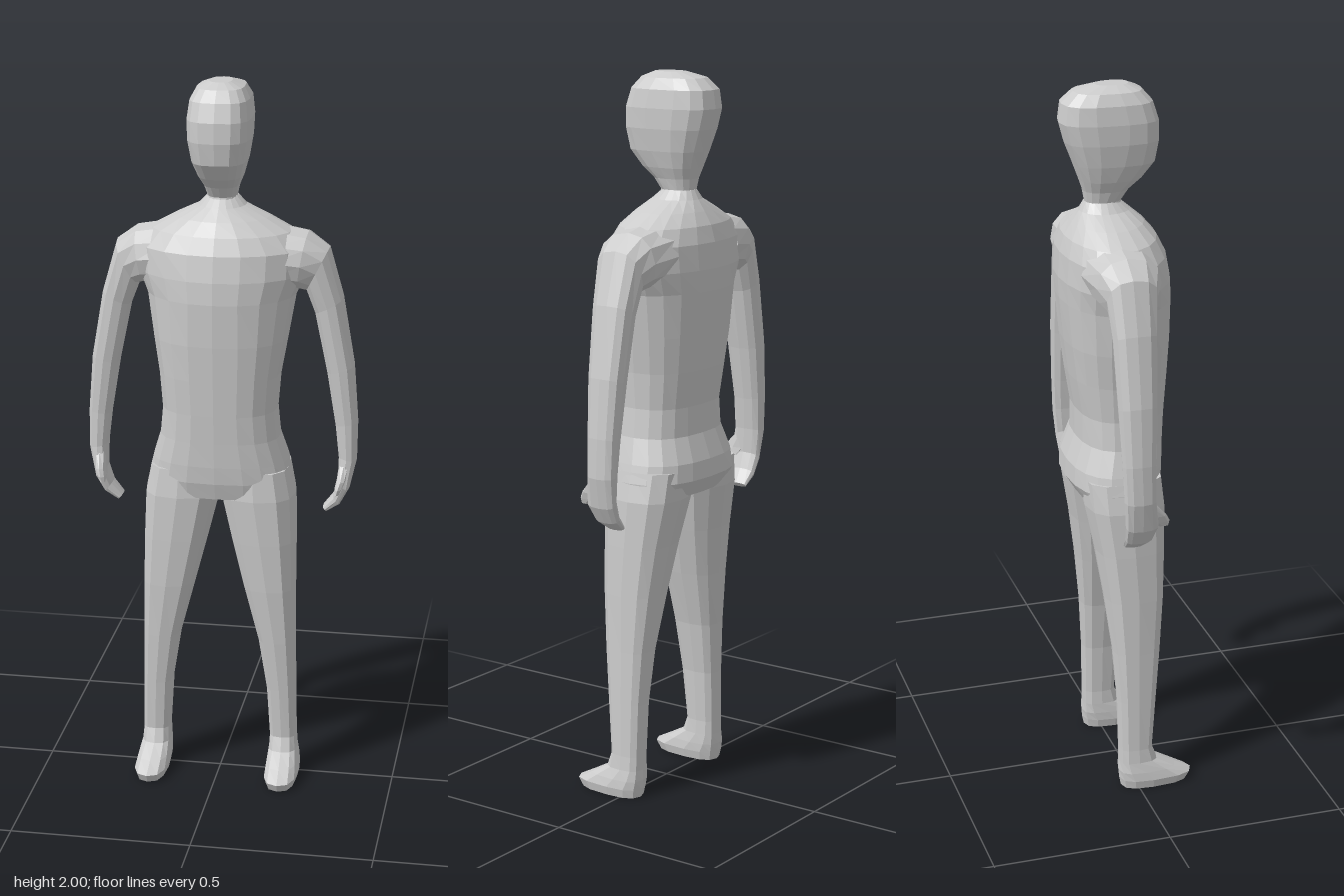
import * as THREE from 'three';

const material = new THREE.MeshStandardMaterial({ color: 0xcccccc, flatShading: true });

// Closed skin through rings listed from top to bottom. Each ring runs between two
// side points: [x1, y1, x2, y2, zFront, zBack, zMiddle, roundness (1 = ellipse, less = boxier)]
function loft(name, sections, sides = 14) {
  const pos = [], index = [];
  const bend = (v, e) => Math.sign(v) * Math.pow(Math.abs(v), e);
  for (const [x1, y1, x2, y2, zf, zb, zm, e] of sections) {
    for (let i = 0; i < sides; i++) {
      const a = (i / sides) * Math.PI * 2;
      const c = Math.abs(Math.cos(a)) < 1e-6 ? 0 : bend(Math.cos(a), e);
      const s = Math.abs(Math.sin(a)) < 1e-6 ? 0 : bend(Math.sin(a), e);
      const t = (c + 1) / 2;
      pos.push(x1 + (x2 - x1) * t, y1 + (y2 - y1) * t, zm + (s > 0 ? zf - zm : zm - zb) * s);
    }
  }
  const last = (sections.length - 1) * sides;
  const capCentre = ([x1, y1, x2, y2, zf, zb]) => pos.push((x1 + x2) / 2, (y1 + y2) / 2, (zf + zb) / 2);
  capCentre(sections[0]);
  capCentre(sections[sections.length - 1]);
  const top = last + sides, bottom = top + 1;
  for (let i = 0; i < sides; i++) {
    const j = (i + 1) % sides;
    for (let r = 0; r < last; r += sides) {
      index.push(r + i, r + j, r + sides + i, r + j, r + sides + j, r + sides + i);
    }
    index.push(top, j, i, bottom, last + i, last + j);
  }
  const geometry = new THREE.BufferGeometry();
  geometry.setAttribute('position', new THREE.Float32BufferAttribute(pos, 3));
  geometry.setIndex(index);
  geometry.computeVertexNormals();
  const mesh = new THREE.Mesh(geometry, material);
  mesh.name = name;
  return mesh;
}

// Ring centred on the body: half width, height, front, back, middle, roundness
const centred = ([w, y, zf, zb, zm, e]) => [-w, y, w, y, zf, zb, zm, e];
// The same ring on the other side of the body
const mirrored = ([x1, y1, x2, y2, ...rest]) => [-x2, y2, -x1, y1, ...rest];

const head = [
  [0.03, 2.0, 0.03, -0.06, -0.01, 0.8],
  [0.064, 1.985, 0.065, -0.12, -0.01, 0.75],
  [0.08, 1.955, 0.092, -0.153, 0.0, 0.7],
  [0.086, 1.905, 0.108, -0.16, 0.01, 0.7],
  [0.084, 1.85, 0.11, -0.145, 0.01, 0.7],
  [0.074, 1.79, 0.1, -0.122, 0.0, 0.7],
  [0.061, 1.745, 0.065, -0.105, -0.02, 0.75],
  [0.048, 1.715, 0.03, -0.095, -0.03, 0.8],
  [0.041, 1.685, 0.01, -0.09, -0.04, 0.9],
  [0.05, 1.64, 0.02, -0.095, -0.04, 1],
].map(centred);

const torso = [
  [0.042, 1.685, 0.005, -0.092, -0.04, 1],
  [0.065, 1.66, 0.035, -0.105, -0.04, 1],
  [0.13, 1.63, 0.07, -0.125, -0.04, 1],
  [0.195, 1.595, 0.1, -0.147, -0.04, 1],
  [0.235, 1.55, 0.122, -0.16, -0.04, 1],
  [0.232, 1.48, 0.136, -0.165, -0.04, 1],
  [0.205, 1.42, 0.14, -0.162, -0.03, 0.95],
  [0.185, 1.3, 0.135, -0.15, -0.02, 0.85],
  [0.168, 1.2, 0.128, -0.137, -0.01, 0.8],
  [0.16, 1.1, 0.121, -0.121, -0.01, 0.8],
  [0.168, 1.02, 0.115, -0.122, -0.01, 0.8],
  [0.19, 0.95, 0.11, -0.147, -0.02, 0.8],
  [0.202, 0.9, 0.104, -0.15, -0.02, 0.8],
  [0.2, 0.852, 0.09, -0.12, -0.02, 0.8],
].map(centred);

// Shoulder, arm and mitten hand; the rings turn from upright to level
const arm = [
  [0.14, 1.44, 0.14, 1.61, 0.07, -0.14, -0.04, 1],
  [0.21, 1.435, 0.235, 1.592, 0.055, -0.123, -0.045, 0.9],
  [0.232, 1.43, 0.293, 1.55, 0.032, -0.107, -0.045, 0.85],
  [0.255, 1.37, 0.333, 1.41, 0.02, -0.1, -0.045, 0.8],
  [0.29, 1.2, 0.366, 1.22, 0.01, -0.096, -0.045, 0.8],
  [0.315, 1.05, 0.378, 1.06, 0.002, -0.09, -0.045, 0.8],
  [0.326, 0.96, 0.377, 0.95, 0.002, -0.086, -0.04, 0.8],
  [0.328, 0.89, 0.358, 0.865, 0.012, -0.08, -0.035, 0.75],
  [0.313, 0.845, 0.334, 0.82, 0.0, -0.076, -0.035, 0.75],
  [0.285, 0.808, 0.298, 0.795, -0.012, -0.07, -0.04, 0.8],
];

const thumb = [
  [0.33, 0.94, 0.36, 0.94, 0.0, -0.05, -0.02, 0.8],
  [0.326, 0.9, 0.352, 0.9, 0.035, -0.04, 0.0, 0.8],
  [0.322, 0.88, 0.344, 0.88, 0.046, -0.02, 0.01, 0.8],
  [0.322, 0.865, 0.336, 0.865, 0.044, 0.015, 0.03, 0.8],
];

// Leg tapering to the ankle, then spreading into the foot
const leg = [
  [0.01, 0.93, 0.195, 0.93, 0.09, -0.13, -0.02, 0.75],
  [0.002, 0.85, 0.212, 0.85, 0.097, -0.125, -0.02, 0.75],
  [0.034, 0.72, 0.215, 0.72, 0.092, -0.1, -0.01, 0.72],
  [0.07, 0.58, 0.216, 0.58, 0.085, -0.08, 0, 0.7],
  [0.112, 0.42, 0.217, 0.42, 0.072, -0.062, 0, 0.7],
  [0.136, 0.27, 0.219, 0.27, 0.058, -0.053, 0, 0.7],
  [0.145, 0.12, 0.222, 0.12, 0.045, -0.05, 0, 0.7],
  [0.143, 0.08, 0.225, 0.08, 0.06, -0.05, 0, 0.7],
  [0.14, 0.05, 0.232, 0.05, 0.115, -0.052, 0.02, 0.7],
  [0.139, 0.025, 0.236, 0.025, 0.163, -0.05, 0.04, 0.75],
  [0.145, 0, 0.23, 0, 0.148, -0.045, 0.04, 0.75],
];

export function createModel() {
  const figure = new THREE.Group();
  figure.name = 'figure';
  figure.add(loft('head', head, 16), loft('torso', torso, 20));
  for (const [part, rings, sides] of [['Arm', arm, 12], ['Thumb', thumb, 8], ['Leg', leg, 12]]) {
    figure.add(loft('left' + part, rings, sides), loft('right' + part, rings.map(mirrored), sides));
  }
  return figure;
}
